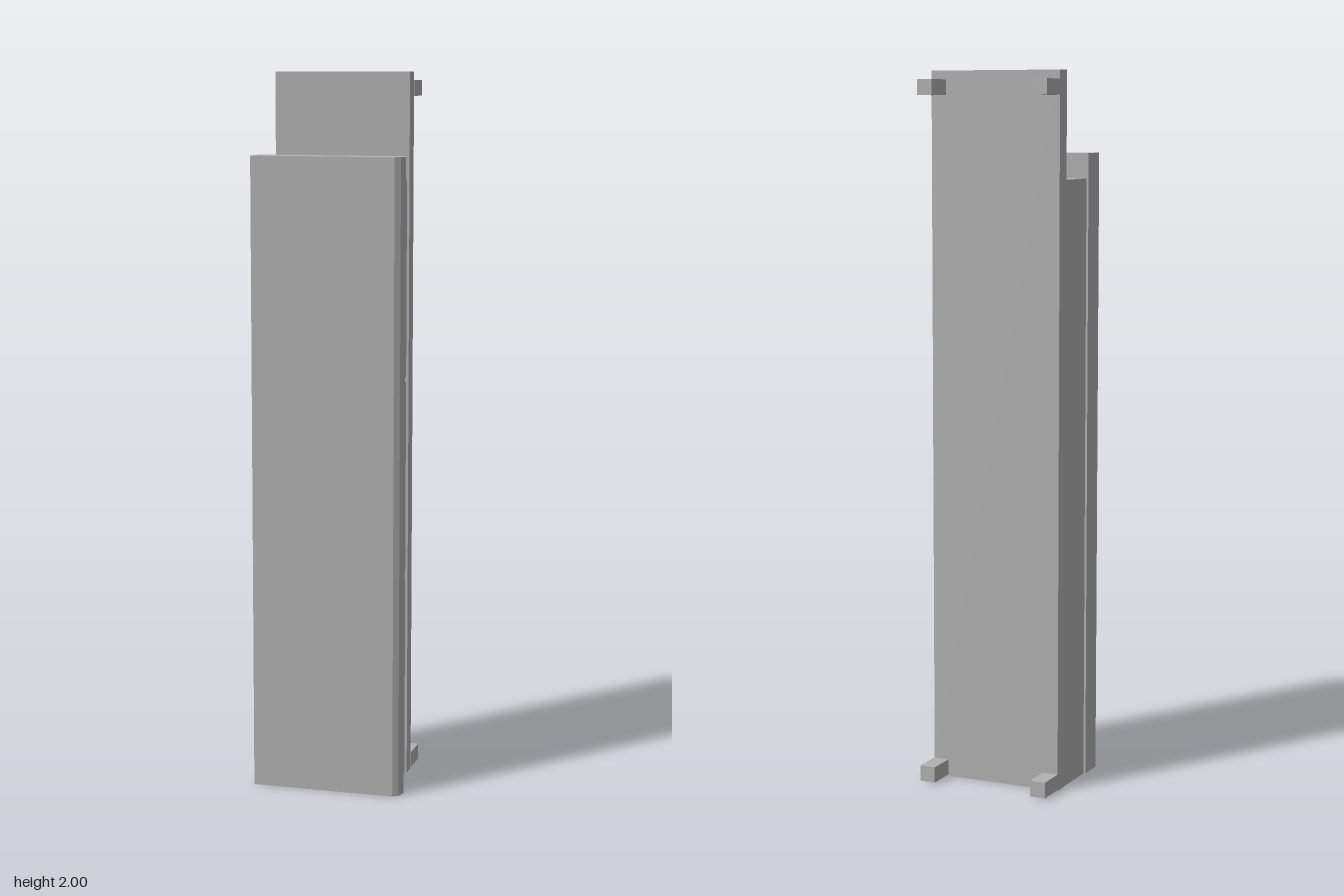
import * as THREE from 'three';

export function createModel() {
  const model = new THREE.Group();
  const grey = new THREE.MeshStandardMaterial({ color: 0xb0b0b0 });
  grey.name = 'plain grey';

  const add = (name, geometry) => {
    const mesh = new THREE.Mesh(geometry, grey);
    mesh.name = name;
    model.add(mesh);
    return mesh;
  };
  const box = (name, x0, x1, y0, y1, z0, z1) =>
    add(name, new THREE.BoxGeometry(x1 - x0, y1 - y0, z1 - z0))
      .position.set((x0 + x1) / 2, (y0 + y1) / 2, (z0 + z1) / 2);
  const extrude = (points, depth) => new THREE.ExtrudeGeometry(
    new THREE.Shape(points.map(([x, y]) => new THREE.Vector2(x, y))),
    { depth, bevelEnabled: false });

  // Tall back plate
  box('backPlate', -0.21, 0.177, 0, 2, -0.088, -0.042);

  // Core block with two thin slots cut into its left edge
  const side = 0.17, slotDepth = 0.14, slotHeight = 0.013;
  const outline = [[-0.209, 0], [side, 0]];
  for (const y of [0.577, 1.142]) {
    outline.push([side, y], [side - slotDepth, y],
      [side - slotDepth, y + slotHeight], [side, y + slotHeight]);
  }
  outline.push([side, 1.705], [-0.209, 1.705]);
  add('core', extrude(outline, 0.14)).position.z = -0.042;

  // Front panel with one faceted, rounded edge (plan profile, y = -z)
  const panel = extrude([
    [-0.215, -0.173], [0.19, -0.173], [0.205, -0.163], [0.2125, -0.136],
    [0.205, -0.108], [0.19, -0.098], [-0.215, -0.098],
  ], 1.775);
  panel.rotateX(-Math.PI / 2);
  add('frontPanel', panel);

  // Four mounting pegs on the back
  for (const [y0, y1] of [[0.003, 0.048], [1.933, 1.976]]) {
    for (const x of [-0.21, 0.133]) {
      box('mountingPeg', x, x + 0.045, y0, y1, -0.174, -0.088);
    }
  }
  return model;
}
